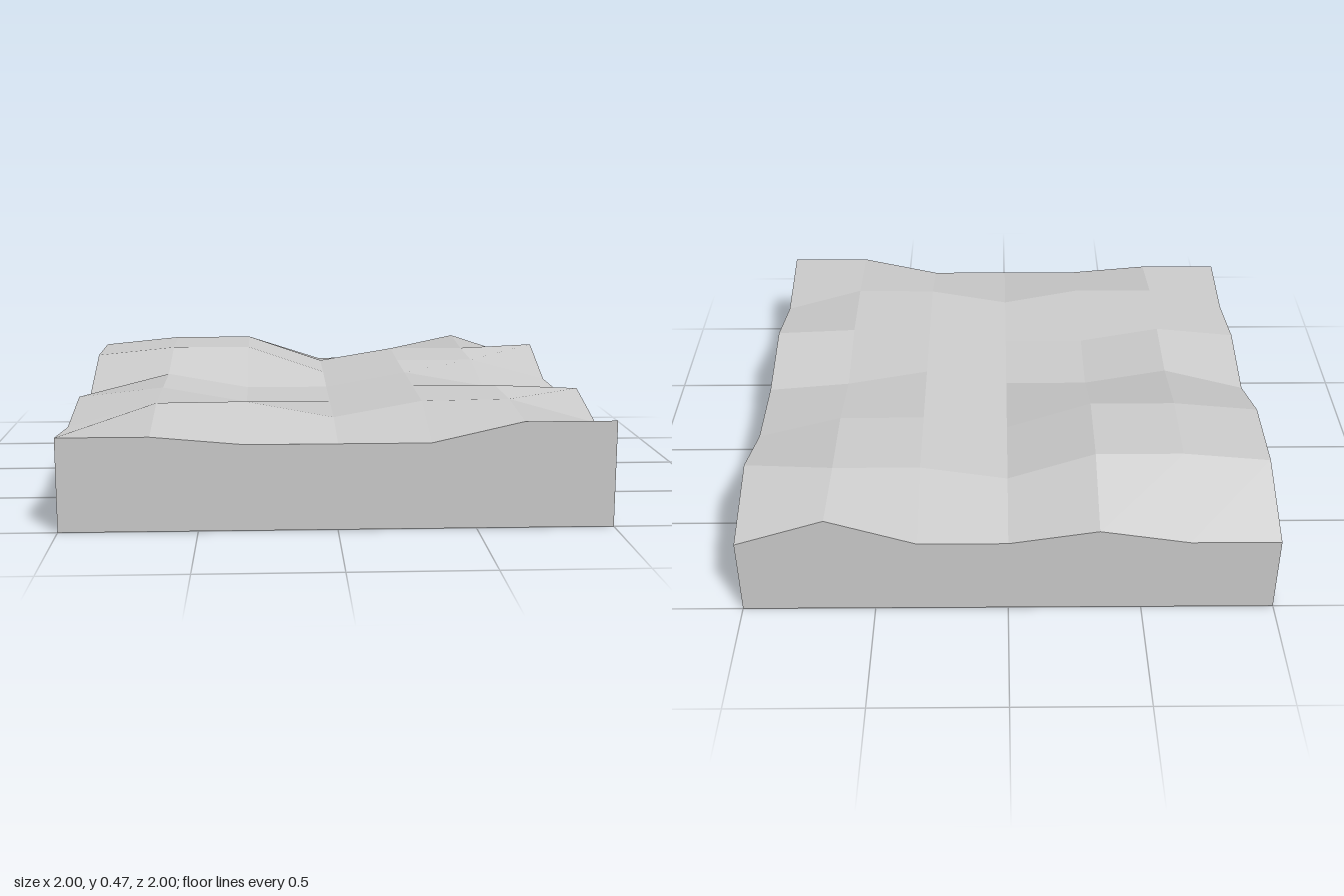
import * as THREE from 'three';

// Ground heights: rows run from the back (z = -1) to the front, columns from x = -1 to x = 1
const HEIGHTS = [
  [0.315, 0.315, 0.37, 0.315, 0.315, 0.425, 0.315],
  [0.437, 0.47, 0.47, 0.355, 0.41, 0.41, 0.425],
  [0.437, 0.47, 0.47, 0.355, 0.405, 0.405, 0.315],
  [0.315, 0.405, 0.345, 0.345, 0.405, 0.345, 0.315],
  [0.37, 0.405, 0.345, 0.345, 0.405, 0.405, 0.39],
  [0.315, 0.405, 0.408, 0.345, 0.405, 0.41, 0.315],
  [0.345, 0.345, 0.315, 0.315, 0.315, 0.39, 0.39],
];
const N = HEIGHTS.length - 1;

const coord = (i) => (2 * i) / N - 1;
const topPoint = (i, j) => new THREE.Vector3(coord(i), HEIGHTS[j][i], coord(j));
const basePoint = (i, j) => new THREE.Vector3(coord(i), 0, coord(j));

// Mesh of four-cornered facets, each with one flat normal
function facetMesh(name, quads, material) {
  const positions = [];
  const normals = [];
  for (const [a, b, c, d] of quads) {
    const normal = c.clone().sub(a).cross(d.clone().sub(b)).normalize();
    for (const p of [a, b, d, b, c, d]) {
      positions.push(p.x, p.y, p.z);
      normals.push(normal.x, normal.y, normal.z);
    }
  }
  const geometry = new THREE.BufferGeometry();
  geometry.setAttribute('position', new THREE.Float32BufferAttribute(positions, 3));
  geometry.setAttribute('normal', new THREE.Float32BufferAttribute(normals, 3));
  const mesh = new THREE.Mesh(geometry, material);
  mesh.name = name;
  return mesh;
}

export function createModel() {
  const group = new THREE.Group();
  group.name = 'terrainBlock';
  const material = new THREE.MeshStandardMaterial({ color: 0xcccccc });

  // Uneven ground
  const ground = [];
  for (let j = 0; j < N; j++) {
    for (let i = 0; i < N; i++) {
      ground.push([topPoint(i, j), topPoint(i, j + 1), topPoint(i + 1, j + 1), topPoint(i + 1, j)]);
    }
  }
  group.add(facetMesh('groundSurface', ground, material));

  // Side walls follow the edge of the ground
  const walls = {
    frontWall: (k) => [k, N],
    rightWall: (k) => [N, N - k],
    backWall: (k) => [N - k, 0],
    leftWall: (k) => [0, k],
  };
  // The +x side is the model's own left
  const names = { frontWall: 'frontWall', rightWall: 'leftWall', backWall: 'backWall', leftWall: 'rightWall' };
  for (const [side, cell] of Object.entries(walls)) {
    const quads = [];
    for (let k = 0; k < N; k++) {
      const p = cell(k);
      const q = cell(k + 1);
      quads.push([basePoint(...p), basePoint(...q), topPoint(...q), topPoint(...p)]);
    }
    group.add(facetMesh(names[side], quads, material));
  }

  // Flat underside
  const underside = [[basePoint(0, 0), basePoint(N, 0), basePoint(N, N), basePoint(0, N)]];
  group.add(facetMesh('underside', underside, material));

  return group;
}
